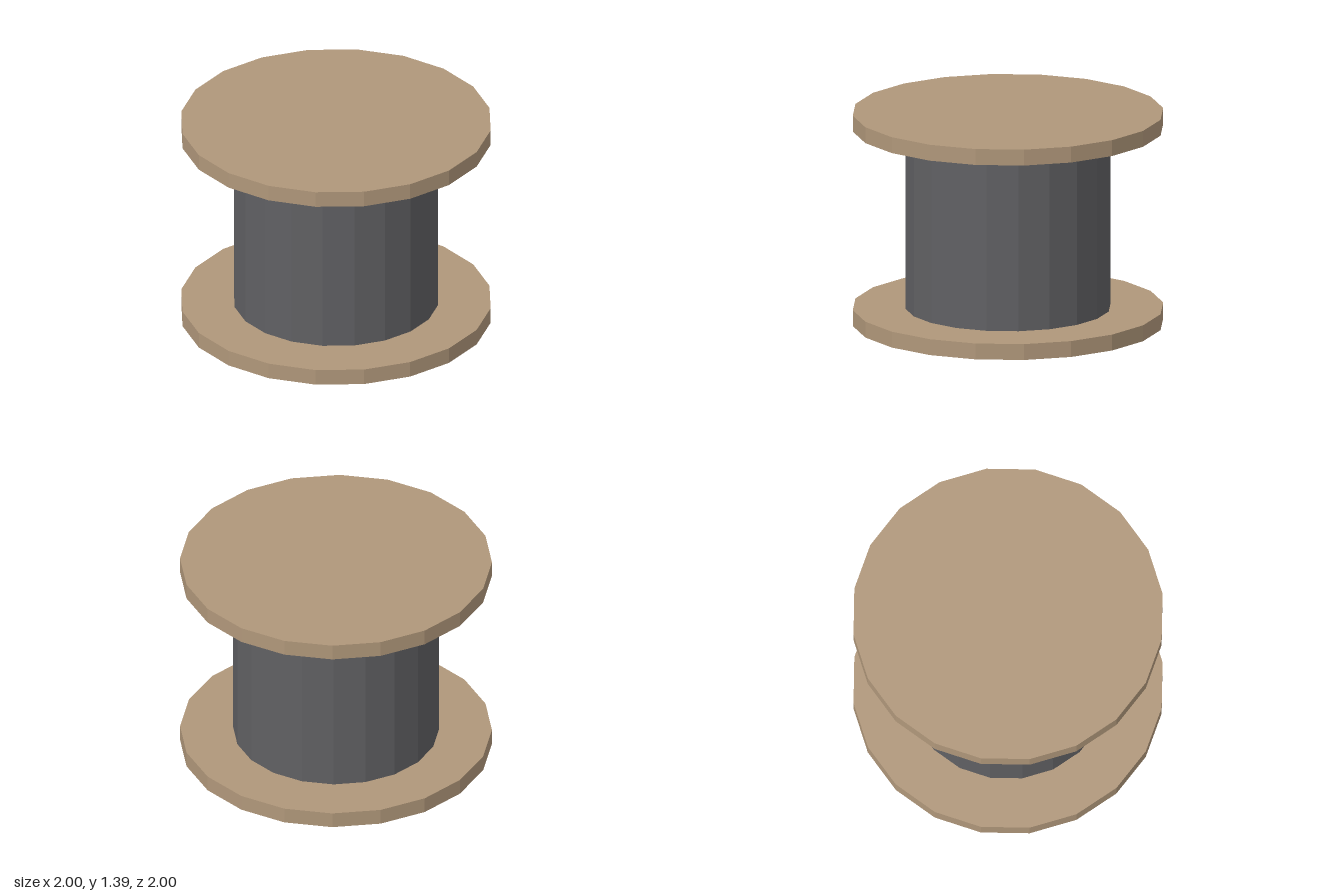
import * as THREE from 'three';

const SIDES = 20;
const HEIGHT = 1.39;
const FLANGE_THICKNESS = 0.105;

export function createModel() {
  const group = new THREE.Group();
  group.name = 'cableSpool';

  const wood = new THREE.MeshStandardMaterial({ color: 0xb0977a });
  wood.name = 'tan wood';
  wood.flatShading = true;
  const cable = new THREE.MeshStandardMaterial({ color: 0x606063 });
  cable.name = 'dark grey cable';
  cable.flatShading = true;

  // Upright disc or drum with its base at the given height
  function addDrum(name, radius, height, base, material, open = false) {
    const geometry = new THREE.CylinderGeometry(radius, radius, height, SIDES, 1, open);
    const mesh = new THREE.Mesh(geometry, material);
    mesh.name = name;
    mesh.position.y = base + height / 2;
    group.add(mesh);
  }

  // Wooden end discs
  addDrum('bottomFlange', 1, FLANGE_THICKNESS, 0, wood);
  addDrum('topFlange', 1, FLANGE_THICKNESS, HEIGHT - FLANGE_THICKNESS, wood);

  // Wound core, its ends covered by the flanges
  addDrum('core', 0.66, HEIGHT - 2 * FLANGE_THICKNESS, FLANGE_THICKNESS, cable, true);

  return group;
}
